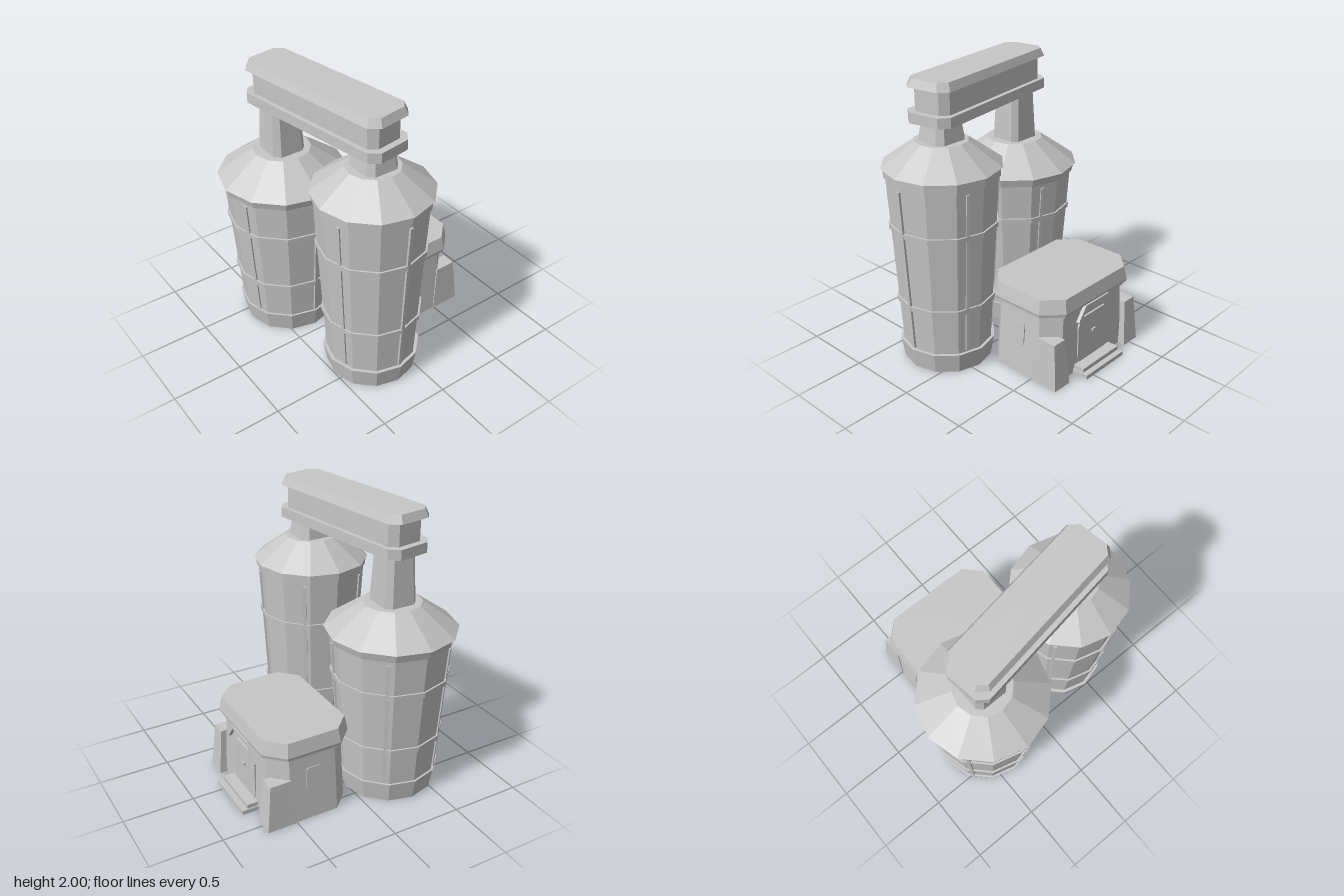
import * as THREE from 'three';

const concrete = new THREE.MeshStandardMaterial({ color: 0xc6c6c6 });
concrete.name = 'light grey concrete';

// Unshared vertices give crisp low-poly facets
function flat(geometry) {
  const g = geometry.index ? geometry.toNonIndexed() : geometry;
  g.computeVertexNormals();
  return g;
}

function add(parent, name, geometry, x = 0, y = 0, z = 0) {
  const mesh = new THREE.Mesh(flat(geometry), concrete);
  mesh.name = name;
  mesh.position.set(x, y, z);
  parent.add(mesh);
  return mesh;
}

// Stack of chamfered rectangles: each level is [y, halfX, halfZ, chamfer]
function chamferedStack(levels) {
  const rings = levels.map(([y, a, b, c]) => [
    [a, b - c], [a, c - b], [a - c, -b], [c - a, -b],
    [-a, c - b], [-a, b - c], [c - a, b], [a - c, b],
  ].map(([x, z]) => [x, y, z]));
  const pos = [];
  const tri = (...corners) => corners.forEach((p) => pos.push(...p));
  const last = rings[rings.length - 1];
  for (let i = 0; i < 8; i++) {
    const j = (i + 1) % 8;
    for (let k = 0; k + 1 < rings.length; k++) {
      const lo = rings[k], hi = rings[k + 1];
      tri(lo[i], lo[j], hi[j]);
      tri(lo[i], hi[j], hi[i]);
    }
    tri([0, levels[0][0], 0], rings[0][j], rings[0][i]);
    tri([0, last[0][1], 0], last[i], last[j]);
  }
  const g = new THREE.BufferGeometry();
  g.setAttribute('position', new THREE.Float32BufferAttribute(pos, 3));
  return g;
}

// Tapered twelve-sided silo with base, hoops, ribs, conical roof and neck
function makeSilo(s) {
  const silo = new THREE.Group();
  silo.name = s.name;
  silo.position.set(s.x, 0, s.z);
  const lathe = (name, pts) =>
    add(silo, name, new THREE.LatheGeometry(pts.map((p) => new THREE.Vector2(...p)), 12));
  const band = s.eave - 0.06;
  const radiusAt = (y) => s.rLow + (s.rHigh - s.rLow) * (y - 0.145) / (band - 0.145);

  // Base is hollow underneath
  lathe('base', [[0, 0.14], [s.rBase - 0.006, 0.14], [s.rBase - 0.006, 0], [s.rBase, 0],
    [s.rBase + 0.025, 0.145], [s.rLow - 0.01, 0.145]]);
  lathe('body', [[s.rLow, 0.145], [s.rHigh, band]]);
  for (const y of s.hoops) {
    const r = radiusAt(y);
    lathe('hoop', [[r - 0.01, y - 0.018], [r + 0.012, y - 0.018],
      [r + 0.014, y + 0.018], [r - 0.01, y + 0.018]]);
  }
  lathe('roof', [[s.rHigh - 0.01, band], [s.rHigh + 0.012, band], [s.rRoof - 0.012, s.eave],
    [s.rRoof, s.eave], [s.rTop, s.top], [0, s.top]]);

  // Five leaning ribs around the wall
  const y0 = 0.16, y1 = band - 0.03;
  for (let i = 0; i < 5; i++) {
    const pivot = new THREE.Group();
    pivot.name = 'ribMount';
    pivot.rotation.y = i * Math.PI * 2 / 5;
    const fromFacetMiddle = THREE.MathUtils.degToRad((i * 72) % 30 - 15);
    const facet = Math.cos(Math.PI / 12) / Math.cos(fromFacetMiddle);
    const r0 = radiusAt(y0) * facet, r1 = radiusAt(y1) * facet;
    const rib = add(pivot, 'rib', new THREE.BoxGeometry(0.024, Math.hypot(y1 - y0, r1 - r0), 0.024),
      (r0 + r1) / 2, (y0 + y1) / 2, 0);
    rib.rotation.z = -Math.atan2(r1 - r0, y1 - y0);
    silo.add(pivot);
  }
  add(silo, 'neck', chamferedStack([[s.top, 0.127, 0.122, 0.04], [1.72, 0.108, 0.105, 0.035]]));
  return silo;
}

function makeBridge() {
  const bridge = new THREE.Group();
  bridge.name = 'bridge';
  bridge.position.set(0.02, 0, 0.257);
  bridge.rotation.y = 0.16;
  add(bridge, 'bridgeFloor', chamferedStack([[1.715, 0.6, 0.172, 0.06], [1.785, 0.6, 0.172, 0.06]]));
  add(bridge, 'bridgeWall', chamferedStack([[1.785, 0.555, 0.14, 0.05], [1.945, 0.555, 0.14, 0.05]]));
  add(bridge, 'bridgeRoof', chamferedStack([[1.945, 0.598, 0.172, 0.06], [2, 0.575, 0.15, 0.05]]));
  return bridge;
}

function makeHouse() {
  const house = new THREE.Group();
  house.name = 'house';
  house.position.set(-0.13, 0, -0.365);
  // Flared walls, hollow underneath
  add(house, 'walls', chamferedStack([[0.11, 0.437, 0.287, 0.115], [0, 0.443, 0.289, 0.115],
    [0, 0.45, 0.295, 0.12], [0.5, 0.415, 0.28, 0.11]]));
  add(house, 'cornice', chamferedStack([[0.48, 0.435, 0.3, 0.12], [0.505, 0.435, 0.3, 0.12]]));
  add(house, 'roof', chamferedStack([[0.505, 0.45, 0.315, 0.12], [0.525, 0.455, 0.322, 0.125],
    [0.625, 0.435, 0.305, 0.12]]));

  for (const side of [-1, 1]) {
    // Tapered corner buttress, hollow underneath
    add(house, 'buttress', chamferedStack([[0.3, 0.05, 0.07, 0], [0, 0.067, 0.103, 0],
      [0, 0.073, 0.11, 0], [0.335, 0.053, 0.077, 0]]), side * 0.383, 0, -0.24);
    // Rounded side window, leaning with the wall
    const w = new THREE.Shape();
    w.moveTo(-0.035, -0.083);
    w.lineTo(0.035, -0.083);
    w.quadraticCurveTo(0.058, -0.083, 0.058, -0.06);
    w.lineTo(0.058, 0.06);
    w.quadraticCurveTo(0.058, 0.083, 0.035, 0.083);
    w.lineTo(-0.035, 0.083);
    w.quadraticCurveTo(-0.058, 0.083, -0.058, 0.06);
    w.lineTo(-0.058, -0.06);
    w.quadraticCurveTo(-0.058, -0.083, -0.035, -0.083);
    const win = add(house, 'sideWindow',
      new THREE.ExtrudeGeometry(w, { depth: 0.009, bevelEnabled: false, curveSegments: 4 }),
      side * 0.427, 0.303, 0.008);
    win.rotation.set(-0.07, side * Math.PI / 2, 0, 'YXZ');
    // Sloping end of the hood above the door
    const arm = add(house, 'hoodArm', new THREE.BoxGeometry(0.022, 0.125, 0.025),
      side * 0.15, 0.445, -0.312);
    arm.rotation.z = side * 0.62;
  }
  add(house, 'hoodBar', new THREE.BoxGeometry(0.24, 0.022, 0.05), 0, 0.492, -0.3);

  // Eight-sided door
  const door = new THREE.Shape();
  [[-0.14, 0.06], [0.14, 0.06], [0.16, 0.1], [0.16, 0.34], [0.12, 0.4], [-0.12, 0.4],
    [-0.16, 0.34], [-0.16, 0.1]].forEach(([x, y], i) => (i ? door.lineTo(x, y) : door.moveTo(x, y)));
  add(house, 'door', new THREE.ExtrudeGeometry(door, { depth: 0.015, bevelEnabled: false }),
    0, 0, -0.297);
  add(house, 'doorHandle', new THREE.BoxGeometry(0.035, 0.02, 0.015), 0, 0.26, -0.302);

  // Doorstep
  add(house, 'lowerStep', new THREE.BoxGeometry(0.405, 0.03, 0.125), 0, 0.015, -0.3525);
  add(house, 'upperStep', new THREE.BoxGeometry(0.385, 0.03, 0.085), 0, 0.045, -0.3325);
  return house;
}

export function createModel() {
  const model = new THREE.Group();
  model.name = 'siloStation';
  model.add(
    makeSilo({ name: 'shortSilo', x: -0.398, z: 0.324, rBase: 0.335, rLow: 0.345, rHigh: 0.412,
      eave: 1.18, rRoof: 0.452, rTop: 0.2, top: 1.36, hoops: [0.415, 0.848] }),
    makeSilo({ name: 'tallSilo', x: 0.44, z: 0.187, rBase: 0.31, rLow: 0.312, rHigh: 0.378,
      eave: 1.42, rRoof: 0.405, rTop: 0.18, top: 1.585, hoops: [0.473, 1.018] }),
    makeBridge(),
    makeHouse(),
  );
  return model;
}
